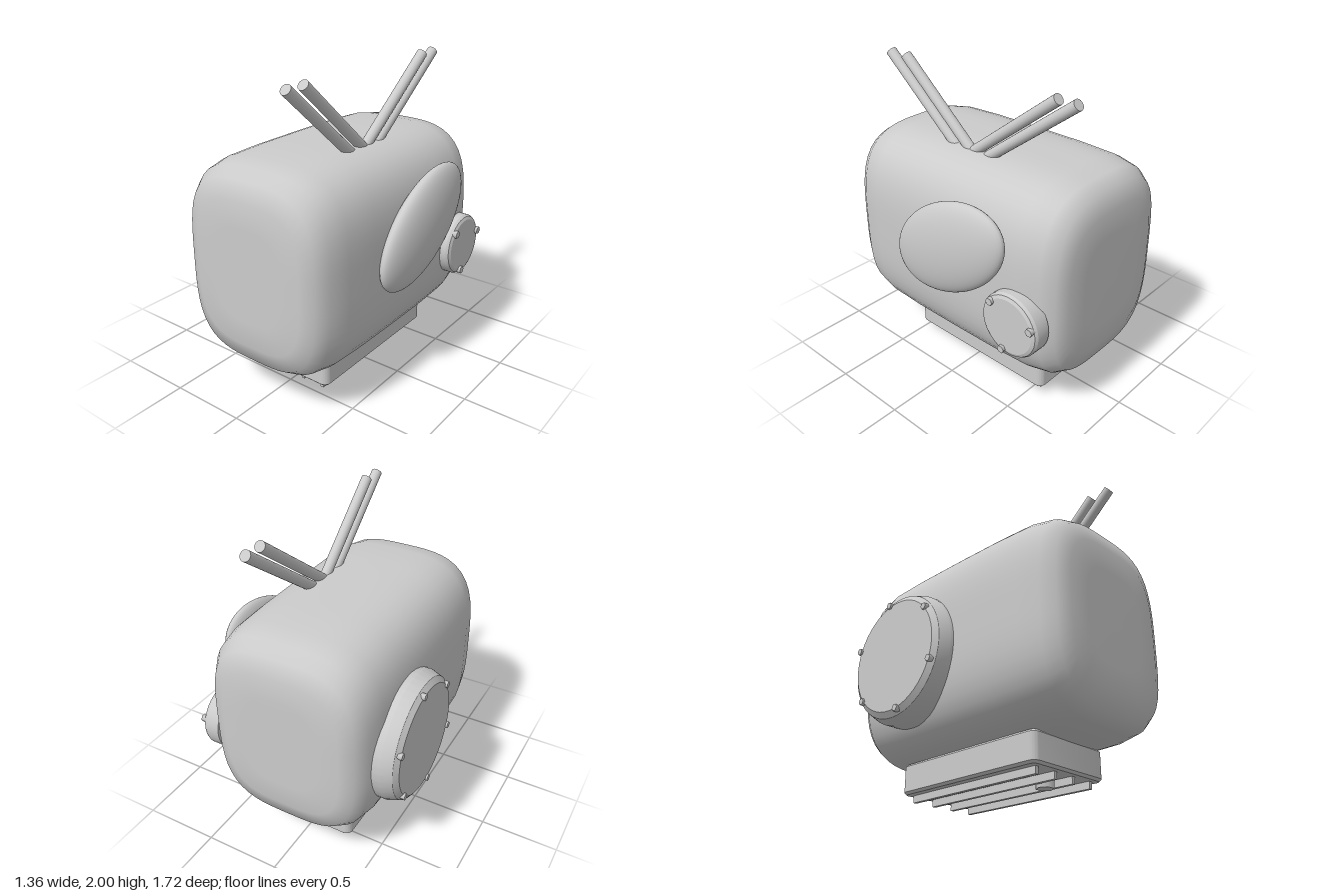
import * as THREE from 'three';
import { mergeVertices, toCreasedNormals } from 'three/addons/utils/BufferGeometryUtils.js';

const material = new THREE.MeshStandardMaterial({ color: 0xcccccc });

function add(parent, name, geometry, x = 0, y = 0, z = 0) {
  const mesh = new THREE.Mesh(geometry, material);
  mesh.name = name;
  mesh.position.set(x, y, z);
  parent.add(mesh);
  return mesh;
}

// Soft box: rounded cross-sections swept along z, closed by flat ends
function bodyGeometry() {
  const half = [
    [0, 0.555, 0.654, 3.4], [0.35, 0.553, 0.653, 3.4], [0.6, 0.546, 0.645, 3.4],
    [0.74, 0.52, 0.62, 3.4], [0.82, 0.47, 0.57, 3.4], [0.858, 0.39, 0.455, 3.4],
    [0.86, 0.25, 0.3, 3.2], [0.86, 0, 0, 3],
  ];
  const rings = [...half.slice(1).reverse().map(([z, ...r]) => [-z, ...r]), ...half];
  const geometry = new THREE.LatheGeometry(rings.map(([z]) => new THREE.Vector2(1, z)), 64);
  geometry.rotateX(Math.PI / 2);
  const p = geometry.attributes.position;
  for (let i = 0; i < p.count; i++) {
    const [z, w, h, n] = rings[i % rings.length];
    const a = Math.atan2(p.getY(i), p.getX(i));
    const c = Math.cos(a), s = Math.sin(a);
    const k = Math.pow(Math.abs(c) ** n + Math.abs(s) ** n, -1 / n);
    p.setXYZ(i, c * k * w, s * k * h, z);
  }
  geometry.deleteAttribute('uv');
  geometry.deleteAttribute('normal');
  const welded = mergeVertices(geometry, 1e-5);
  welded.computeVertexNormals();
  return welded;
}

// Bevelled round cover facing +x (side 1) or -x (side -1), with a ring of hex bolts
function cover(name, side, y, z, profile, boltRadius, boltAngles, boltSize, boltEnd) {
  const group = new THREE.Group();
  group.name = name;
  group.position.set(0, y, z);
  const points = profile.map(([r, d]) => new THREE.Vector2(r, d));
  const plate = new THREE.LatheGeometry(points, 48).rotateZ(-side * Math.PI / 2);
  add(group, name + 'Plate', toCreasedNormals(plate, 0.35));
  for (const degrees of boltAngles) {
    const a = THREE.MathUtils.degToRad(degrees);
    const bolt = new THREE.CylinderGeometry(boltSize, boltSize, 0.05, 6).rotateZ(Math.PI / 2);
    add(group, name + 'Bolt', bolt, side * (boltEnd - 0.025), boltRadius * Math.sin(a), boltRadius * Math.cos(a));
  }
  return group;
}

// Rounded rectangle lying flat, extruded upward with a small bevel
function slabGeometry(width, depth, height, radius, bevel) {
  const w = width / 2 - bevel, d = depth / 2 - bevel, r = radius;
  const shape = new THREE.Shape();
  shape.absarc(w - r, d - r, r, 0, Math.PI / 2);
  shape.absarc(-w + r, d - r, r, Math.PI / 2, Math.PI);
  shape.absarc(-w + r, -d + r, r, Math.PI, Math.PI * 1.5);
  shape.absarc(w - r, -d + r, r, Math.PI * 1.5, Math.PI * 2);
  const geometry = new THREE.ExtrudeGeometry(shape, {
    depth: height - 2 * bevel, bevelSize: bevel, bevelThickness: bevel, bevelSegments: 1, curveSegments: 5,
  });
  geometry.translate(0, 0, bevel).rotateX(-Math.PI / 2);
  return toCreasedNormals(geometry, 0.5);
}

export function createModel() {
  const model = new THREE.Group();
  model.name = 'model';

  add(model, 'body', bodyGeometry(), 0, 0.882, 0);

  // Tilted oval pad on the left side
  const pad = add(model, 'ovalPad', new THREE.SphereGeometry(1, 48, 32), 0.58, 1.035, -0.1);
  pad.scale.set(0.095, 0.28, 0.485);
  pad.rotation.x = THREE.MathUtils.degToRad(31);

  // Round covers
  model.add(cover('smallCover', 1, 0.735, -0.6,
    [[0, 0.5], [0.205, 0.5], [0.205, 0.59], [0.195, 0.608], [0.175, 0.617], [0, 0.617]],
    0.175, [43, 163, 283], 0.025, 0.635));
  model.add(cover('largeCover', -1, 0.805, -0.305,
    [[0, 0.48], [0.415, 0.48], [0.415, 0.575], [0.39, 0.645], [0.355, 0.67], [0, 0.67]],
    0.36, [100, 40, -20, -80, -140, 160], 0.022, 0.683));

  // Base with ribs and a hex bolt underneath
  add(model, 'base', slabGeometry(0.61, 1.105, 0.19, 0.03, 0.015), -0.007, 0.06, -0.048);
  for (let i = 0; i < 4; i++) {
    add(model, 'baseRib', new THREE.BoxGeometry(0.024, 0.065, 1.01), -0.24 + i * 0.155, 0.0475, -0.048);
  }
  add(model, 'baseBolt', new THREE.CylinderGeometry(0.055, 0.055, 0.08, 6).rotateY(Math.PI / 6), -0.007, 0.04, 0.31);

  // Rods rising from the top: [z at the body, z at the tip]
  const up = new THREE.Vector3(0, 1, 0);
  for (const [z0, z1] of [[0.21, 0.73], [0.08, 0.59], [-0.02, -0.6], [-0.14, -0.73]]) {
    const tip = new THREE.Vector3(0.225, 1.976, z1);
    const foot = new THREE.Vector3(0.225, 1.535, z0).lerp(tip, -0.12);
    const along = tip.clone().sub(foot);
    const rod = add(model, 'rod', new THREE.CylinderGeometry(0.034, 0.034, along.length(), 20));
    rod.position.copy(foot).add(tip).multiplyScalar(0.5);
    rod.quaternion.setFromUnitVectors(up, along.normalize());
  }
  return model;
}
